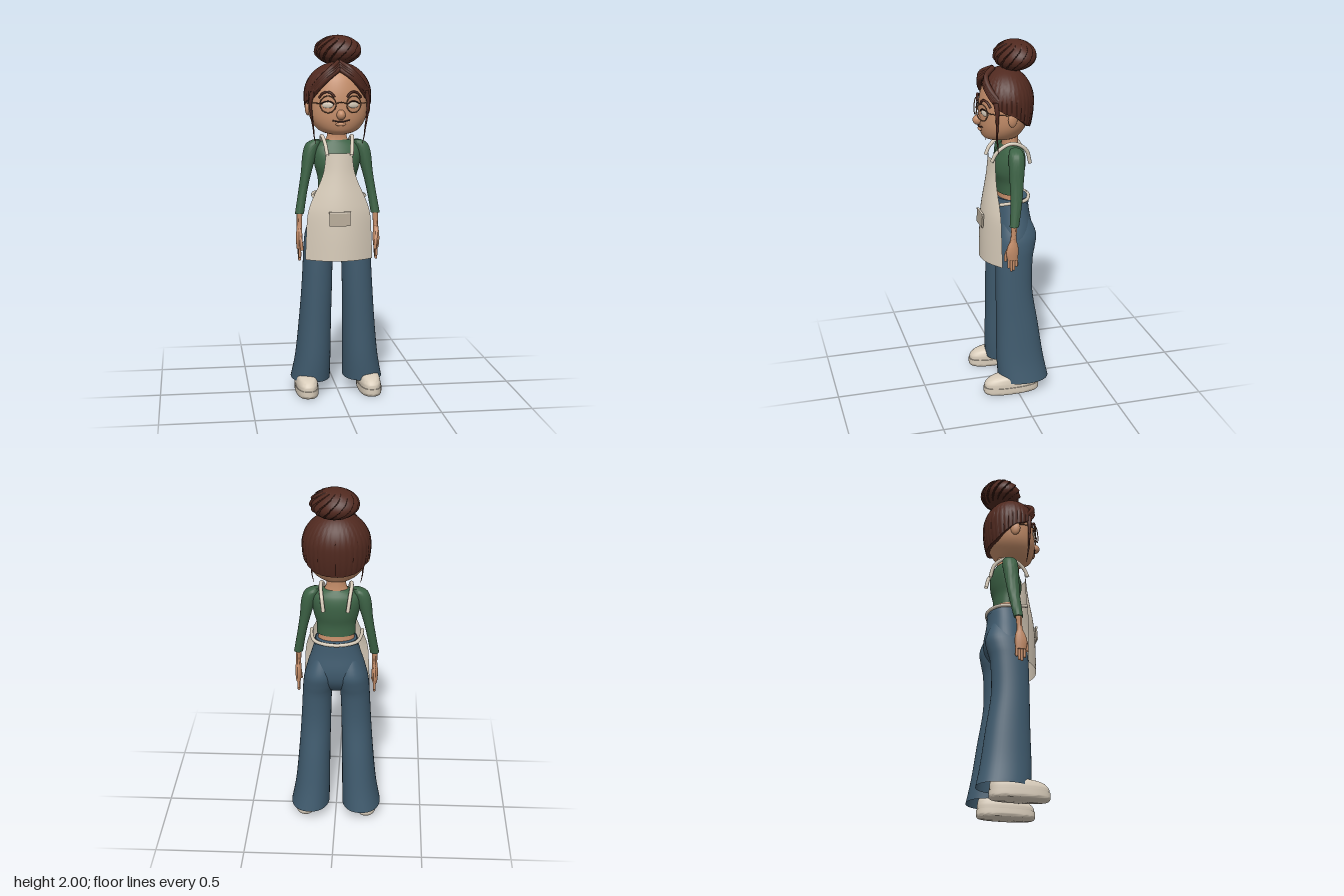
import * as THREE from 'three';
import { toCreasedNormals } from 'three/addons/utils/BufferGeometryUtils.js';

const mat = (name, color) => {
  const m = new THREE.MeshStandardMaterial({ color, side: THREE.DoubleSide });
  m.name = name;
  return m;
};

// Closed-around surface: f(u, v) with u running around from the front to +x, v from top to bottom
function surface(nu, nv, f, crease = 0.9) {
  const pos = [], idx = [];
  for (let j = 0; j <= nv; j++)
    for (let i = 0; i < nu; i++) pos.push(...f(i / nu, j / nv));
  for (let j = 0; j < nv; j++)
    for (let i = 0; i < nu; i++) {
      const k = (i + 1) % nu, a = j * nu + i, c = j * nu + k;
      idx.push(a, a + nu, c, c, a + nu, c + nu);
    }
  const g = new THREE.BufferGeometry();
  g.setAttribute('position', new THREE.Float32BufferAttribute(pos, 3));
  g.setIndex(idx);
  return toCreasedNormals(g, crease);
}

const catmull = (a, b, c, d, t) =>
  0.5 * (2 * b + (c - a) * t + (2 * a - 5 * b + 4 * c - d) * t * t + (3 * b - a - 3 * c + d) * t * t * t);

// Smooth sampling of a list of equal-length rows
function sample(rows, v) {
  const n = rows.length - 1, s = Math.min(v * n, n - 1e-6), i = Math.floor(s);
  const at = k => rows[Math.max(0, Math.min(n, k))];
  return rows[i].map((_, q) => catmull(at(i - 1)[q], at(i)[q], at(i + 1)[q], at(i + 2)[q], s - i));
}

// Horizontal sections, top to bottom: [y, xMin, xMax, zBack, zFront]
function loft(rows, { cap = true, power = 2, nu = 40, step = 4 } = {}) {
  const nv = (rows.length - 1) * step, e = 2 / power, extra = cap ? 1 : 0;
  const bend = t => Math.sign(t) * Math.abs(t) ** e;
  return surface(nu, nv + 2 * extra, (u, v) => {
    const j = Math.round(v * (nv + 2 * extra)) - extra;
    const k = j < 0 || j > nv ? 0 : 1;
    const [y, x0, x1, z0, z1] = sample(rows, Math.max(0, Math.min(1, j / nv)));
    const a = u * Math.PI * 2;
    return [(x0 + x1) / 2 + k * (x1 - x0) / 2 * bend(Math.sin(a)), y,
      (z0 + z1) / 2 + k * (z1 - z0) / 2 * bend(Math.cos(a))];
  });
}
const even = rows => rows.map(([y, h, z0, z1]) => [y, -h, h, z0, z1]);
const flip = (rows, s) => s > 0 ? rows : rows.map(([y, a, b, z0, z1]) => [y, -b, -a, z0, z1]);
const tube = (pts, r, seg = 24) => new THREE.TubeGeometry(
  new THREE.CatmullRomCurve3(pts.map(p => new THREE.Vector3(...p))), seg, r, 8);
const faceZ = x => 0.024 + 0.138 * Math.sqrt(1 - (x / 0.165) ** 2);

export function createModel() {
  const root = new THREE.Group();
  const skin = mat('skin', 0xc48d69), hairMat = mat('hair brown', 0x50291f), green = mat('shirt green', 0x3d6346);
  const denim = mat('denim blue', 0x3f5a6d), cream = mat('cream', 0xd8ccba), shade = mat('pocket stone', 0xb5a997);
  const gold = mat('glasses bronze', 0x8f6244), dark = mat('line brown', 0x3c211b);
  const add = (name, geo, m, p = [0, 0, 0], sc = [1, 1, 1], rot = [0, 0, 0]) => {
    const o = new THREE.Mesh(geo, m);
    o.name = name;
    o.position.set(...p); o.scale.set(...sc); o.rotation.set(...rot);
    root.add(o);
    return o;
  };
  const ball = new THREE.SphereGeometry(1, 24, 16);

  // Head, neck and midriff
  add('head', loft(even([[1.83, .05, -.05, .07], [1.78, .12, -.1, .125], [1.7, .158, -.12, .152], [1.62, .164, -.118, .16],
    [1.55, .153, -.1, .16], [1.5, .123, -.07, .15], [1.475, .088, -.05, .135], [1.462, .045, -.025, .1]]), { nu: 48 }), skin);
  add('neck', loft(even([[1.52, .055, -.055, .035], [1.45, .054, -.055, .032], [1.405, .075, -.06, .036]])), skin);
  add('midriff', loft(even([[1.22, .1, -.07, .055], [1.16, .098, -.07, .055], [1.09, .105, -.08, .06]])), skin);
  add('nose', ball, skin, [0, 1.573, .166], [.024, .028, .03]);
  add('mouth', tube([[-.046, 1.543, faceZ(.046)], [0, 1.536, faceZ(0) + .001], [.05, 1.545, faceZ(.05)]], .0035), dark);
  add('lowerLip', ball, skin, [0, 1.522, .155], [.028, .01, .012]);

  // Shirt body
  add('shirt', loft(even([[1.428, .064, -.058, .036], [1.412, .1, -.07, .042], [1.385, .13, -.085, .055], [1.34, .134, -.094, .075],
    [1.28, .124, -.09, .082], [1.22, .108, -.077, .066], [1.158, .106, -.076, .062]]), { cap: false, nu: 48 }), green);

  // Trousers: pelvis, waistband and two flared legs
  add('trouserHips', loft(even([[1.13, .113, -.106, .072], [1.05, .135, -.113, .08], [.96, .163, -.127, .088],
    [.89, .172, -.118, .09], [.83, .12, -.08, .08], [.8, .05, -.04, .05]]), { nu: 48, power: 2.2 }), denim);
  add('waistband', loft(even([[1.135, .116, -.109, .075], [1.1, .124, -.113, .08]]), { cap: false, nu: 48, power: 2.2 }), denim);

  for (const s of [1, -1]) {
    const side = s > 0 ? 'left' : 'right', m = rows => flip(rows, s), mp = pts => pts.map(([x, y, z]) => [x * s, y, z]);
    add(side + 'TrouserLeg', loft(m([[1.02, .03, .13, -.1, .06], [.93, .004, .17, -.135, .085], [.86, .008, .184, -.126, .093],
      [.78, .024, .19, -.11, .098], [.6, .03, .2, -.107, .1], [.4, .034, .215, -.137, .1], [.2, .036, .235, -.166, .102],
      [.068, .038, .26, -.192, .096]]), { cap: false, power: 2.2 }), denim);
    add(side + 'Ankle', loft(m([[.3, .13, .215, -.1, 0], [.06, .135, .215, -.1, 0]])), skin);

    // Shoes
    add(side + 'ShoeUpper', loft(m([[.105, .135, .22, -.115, .09], [.092, .126, .231, -.121, .15], [.065, .119, .238, -.125, .183],
      [.04, .119, .239, -.125, .186]]), { power: 2.5 }), cream);
    add(side + 'ShoeSole', loft(m([[.042, .114, .243, -.129, .191], [.01, .114, .243, -.129, .191], [0, .119, .238, -.123, .183]]),
      { power: 2.5 }), cream);

    // Sleeves, forearms and hands
    add(side + 'Sleeve', loft(m([[1.427, .09, .135, -.035, .015], [1.405, .095, .172, -.05, .03], [1.35, .112, .191, -.052, .036],
      [1.25, .142, .201, -.04, .036], [1.15, .166, .216, -.027, .037], [1.02, .188, .238, -.003, .048]])), green);
    add(side + 'Forearm', loft(m([[1.04, .196, .229, .004, .04], [.95, .2, .229, .012, .044], [.91, .199, .233, .003, .06],
      [.87, .198, .234, 0, .07], [.825, .203, .23, .005, .062]])), skin);
    [.79, .77, .765, .785].forEach((y, i) => {
      const z = .011 + i * .0145, top = .84;
      add(side + 'Finger' + (i + 1), new THREE.CapsuleGeometry(.0078, top - y, 4, 8), skin, [s * .215, (top + y) / 2, z]);
    });
    add(side + 'Thumb', tube(mp([[.212, .9, .05], [.208, .86, .068], [.204, .82, .07]]), .009), skin);

    // Ears, brows and loose locks of hair
    add(side + 'Ear', ball, skin, [s * .163, 1.605, .018], [.016, .042, .028], [0, s * .35, 0]);
    add(side + 'Brow', tube([[.034, 1.668], [.052, 1.69], [.075, 1.696], [.098, 1.686], [.114, 1.664]]
      .map(([x, y]) => [x * s, y, faceZ(x) + .002]), .0065), hairMat);
    add(side + 'Lock', loft(m([[1.7, .125, .16, .08, .12], [1.64, .148, .168, .09, .113], [1.57, .146, .16, .093, .108],
      [1.5, .138, .147, .094, .104], [1.45, .134, .14, .09, .096], [1.41, .126, .128, .088, .09]]), { nu: 10 }), hairMat);

    // Eyes and glasses
    const turn = [0, s * .42, 0];
    add(side + 'Eye', ball, cream, [s * .07, 1.625, faceZ(.07) - .003], [.032, .016, .006], turn);
    add(side + 'Lash', tube([[.036, 1.63], [.055, 1.644], [.08, 1.645], [.106, 1.632]]
      .map(([x, y]) => [x * s, y, faceZ(x) + .005]), .0035), dark);
    add(side + 'Rim', new THREE.TorusGeometry(.045, .0028, 8, 36), gold, [s * .07, 1.63, .162], [1, 1, 1], turn);
    add(side + 'Temple', tube(mp([[.112, 1.635, .146], [.155, 1.635, .1], [.171, 1.628, .02]]), .0028), gold);

    // Apron shoulder straps
    add(side + 'Strap', tube(mp([[.068, 1.35, .109], [.073, 1.4, .082], [.082, 1.444, .02], [.084, 1.442, -.03],
      [.076, 1.4, -.085], [.066, 1.325, -.108]]), .0105, 36), cream);
  }
  add('glassesBridge', tube([[-.028, 1.635, .172], [0, 1.642, .178], [.028, 1.635, .172]], .0028), gold);

  // Apron sheet: [y, half width, z at centre, how far the sides fall back]
  const apronRows = [[1.36, .073, .108, .018], [1.27, .083, .118, .028], [1.2, .105, .128, .038], [1.1, .15, .144, .058],
    [1.02, .174, .153, .068], [.9, .182, .159, .075], [.77, .187, .161, .08]];
  const apron = new THREE.PlaneGeometry(2, 1, 24, 30), p = apron.attributes.position;
  for (let i = 0; i < p.count; i++) {
    const u = p.getX(i), [y, w, z, k] = sample(apronRows, 0.5 - p.getY(i));
    p.setXYZ(i, u * w, y, z - k * u * u);
  }
  apron.computeVertexNormals();
  add('apron', apron, cream);
  add('apronPocket', new THREE.BoxGeometry(.116, .078, .009), shade, [-.004, 1.005, .158], [1, 1, 1], [-.07, 0, 0]);
  add('pocketHem', new THREE.BoxGeometry(.118, .01, .009), cream, [-.004, 1.04, .158]);
  add('apronTie', tube([[-.142, 1.125, .088], [-.138, 1.126, .02], [-.11, 1.126, -.07], [0, 1.126, -.113], [.11, 1.126, -.07],
    [.138, 1.126, .02], [.142, 1.125, .088]], .01, 48), cream);

  // Hair cap: strands run from the crown to a hairline that is parted in front
  const hairline = [[1.815], [1.765], [1.7], [1.65], [1.625], [1.585], [1.55], [1.537], [1.533]];
  add('hairCap', surface(216, 29, (u, v) => {
    const a = u * Math.PI * 2, end = sample(hairline, 1 - Math.abs(1 - 2 * u))[0];
    const t = Math.min(1, v * 29 / 27), inner = Math.max(0, v * 29 - 27);
    const low = end < 1.68 ? Math.PI / 2 + Math.asin((1.68 - end) / .3) : Math.acos((end - 1.68) / .175);
    const phi = t * low, c = Math.cos(phi), y = 1.68 + (c > 0 ? .175 : .3) * c;
    const strand = Math.abs(Math.sin(18 * a + 1.2 * Math.sin(a) * t));
    const r = Math.sin(phi) * (0.965 + 0.035 * Math.sqrt(strand) * t) * (1 - .07 * inner);
    return [.187 * r * Math.sin(a), y, .018 + .157 * r * Math.cos(a)];
  }, 0.7), hairMat);
  // Swept fringe lying on each side of the parting
  for (const s of [1, -1])
    for (let i = 0; i < 4; i++) {
      const d = i * .013;
      add((s > 0 ? 'left' : 'right') + 'Fringe' + (i + 1), tube([[.003, 1.815 + d, .118 - i * .012], [.05, 1.782 + d, .142 - i * .003],
        [.105, 1.728 + d, .128], [.15, 1.668 + d, .088]].map(([x, y, z]) => [x * s, y, z]), .014), hairMat);
    }

  // Bun with overlapping twisted strands
  add('hairBun', surface(168, 28, (u, v) => {
    const a = u * Math.PI * 2, phi = v * Math.PI, r = Math.sin(phi);
    const saw = (((14 * u + 4.5 * v) % 1) + 1) % 1;
    const k = r * (0.91 + 0.11 * saw * r);
    return [.008 + .131 * k * Math.sin(a), 1.917 + .083 * Math.cos(phi), -.035 + .116 * k * Math.cos(a)];
  }, 0.6), hairMat);

  return root;
}
